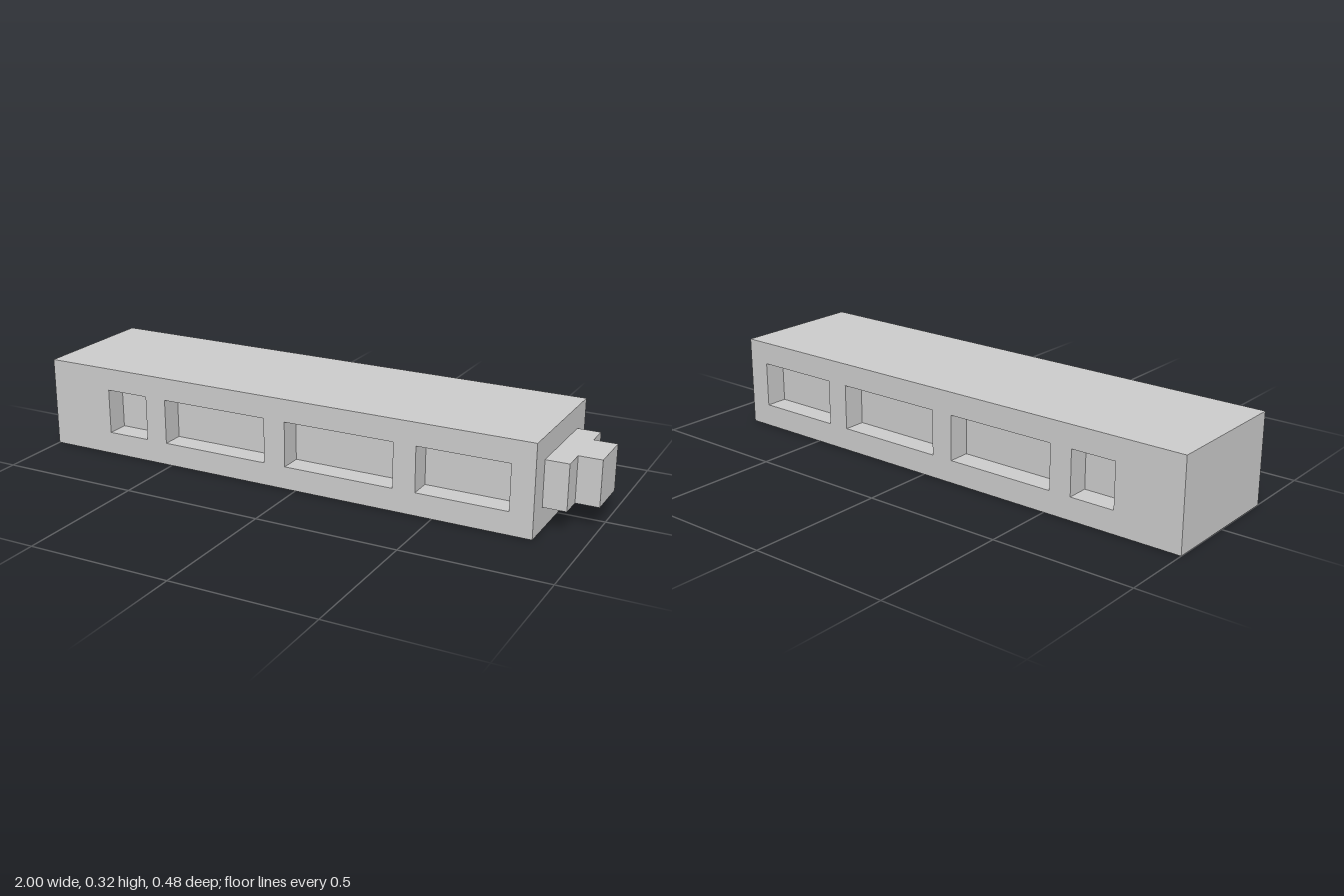
import * as THREE from 'three';

const material = new THREE.MeshStandardMaterial({ color: 0xcccccc, flatShading: true });

// Body extents and recessed windows
const X0 = -1, X1 = 0.84, HEIGHT = 0.32, HALF_DEPTH = 0.24;
const SILL = 0.08, LINTEL = 0.24, RECESS = 0.08;
const WINDOWS = [[-0.76, -0.6], [-0.52, -0.12], [-0.04, 0.36], [0.44, 0.76]];

function part(name, geometry) {
  const mesh = new THREE.Mesh(geometry, material);
  mesh.name = name;
  return mesh;
}

// Box that keeps only the listed faces (0..5 = +x -x +y -y +z -z), optionally turned inwards
function boxFaces(w, h, d, faces, inward = false) {
  const geometry = new THREE.BoxGeometry(w, h, d);
  const all = Array.from(geometry.index.array);
  const index = faces.flatMap((f) => all.slice(f * 6, f * 6 + 6));
  geometry.clearGroups();
  geometry.setIndex(inward ? index.reverse() : index);
  const result = geometry.toNonIndexed();
  result.computeVertexNormals();
  return result;
}

function rectangle(target, x0, x1, y0, y1) {
  target.moveTo(x0, y0).lineTo(x1, y0).lineTo(x1, y1).lineTo(x0, y1).closePath();
  return target;
}

// One long wall with its recessed windows, facing +z (s = 1) or -z (s = -1)
function createWall(name, s) {
  const wall = new THREE.Group();
  wall.name = name;
  const span = (a, b) => [Math.min(s * a, s * b), Math.max(s * a, s * b)];

  const face = rectangle(new THREE.Shape(), ...span(X0, X1), 0, HEIGHT);
  for (const [a, b] of WINDOWS) {
    const [x0, x1] = span(a, b);
    face.holes.push(rectangle(new THREE.Path(), x0, x1, SILL, LINTEL));

    const pocket = part('windowRecess',
      boxFaces(x1 - x0, LINTEL - SILL, RECESS, [0, 1, 2, 3, 5], true));
    pocket.position.set((x0 + x1) / 2, (SILL + LINTEL) / 2, HALF_DEPTH - RECESS / 2);
    wall.add(pocket);
  }
  const panel = part('wallPanel', new THREE.ShapeGeometry(face));
  panel.position.z = HALF_DEPTH;
  wall.add(panel);

  if (s < 0) wall.rotation.y = Math.PI;
  return wall;
}

export function createModel() {
  const model = new THREE.Group();
  model.name = 'carriage';

  // Roof, floor and ends
  const shell = part('bodyShell', boxFaces(X1 - X0, HEIGHT, HALF_DEPTH * 2, [0, 1, 2, 3]));
  shell.position.set((X0 + X1) / 2, HEIGHT / 2, 0);
  model.add(shell, createWall('frontWall', 1), createWall('backWall', -1));

  // Stepped coupling on the left end
  const outline = new THREE.Shape([
    [X1, -0.16], [0.92, -0.16], [0.92, -0.08], [1, -0.08],
    [1, 0.08], [0.92, 0.08], [0.92, 0.16], [X1, 0.16],
  ].map(([x, z]) => new THREE.Vector2(x, z)));
  const coupling = part('coupling',
    new THREE.ExtrudeGeometry(outline, { depth: 0.16, bevelEnabled: false }).rotateX(-Math.PI / 2));
  coupling.position.y = 0.08;
  model.add(coupling);

  return model;
}
